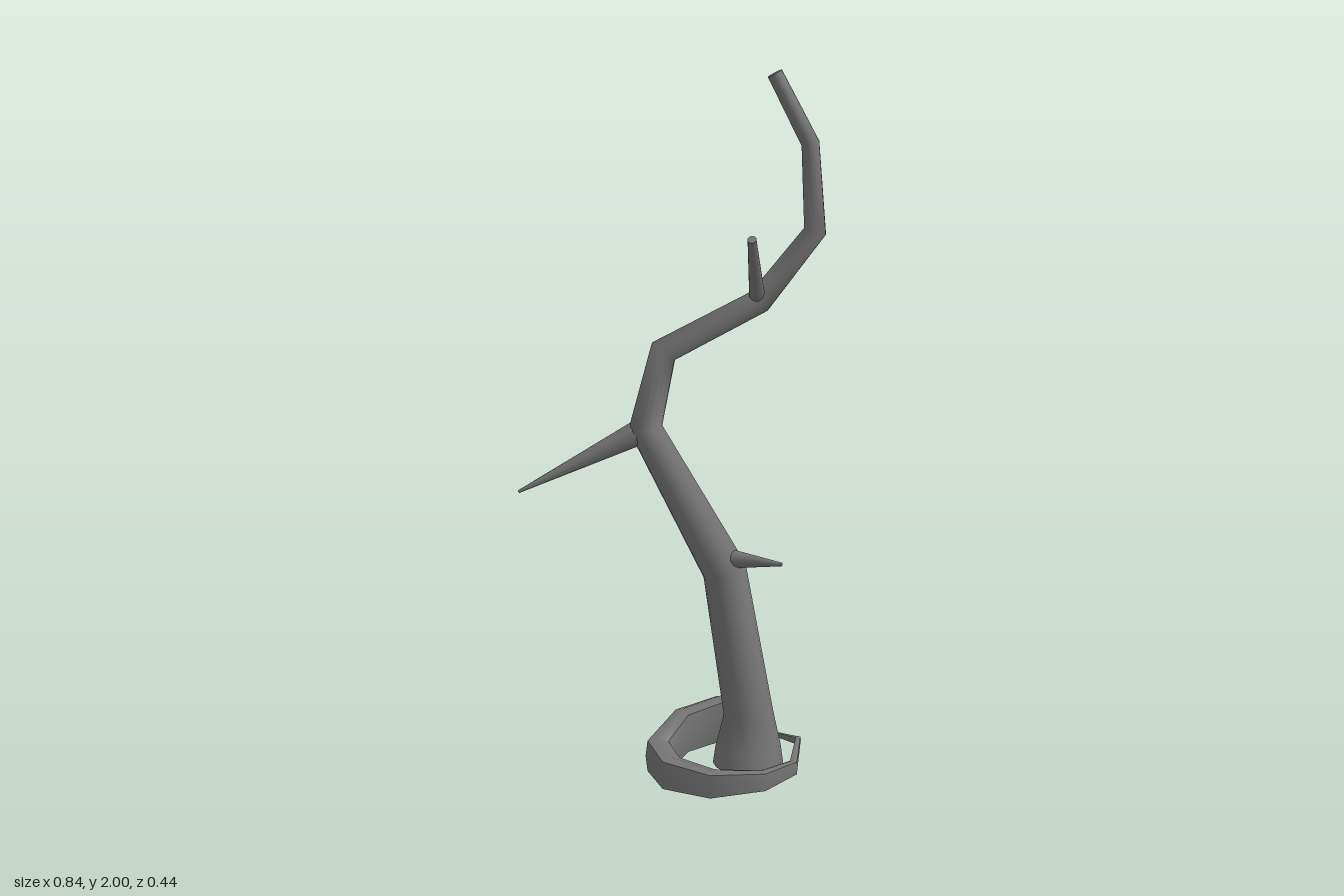
import * as THREE from 'three';
import { toCreasedNormals } from 'three/addons/utils/BufferGeometryUtils.js';

const Y = new THREE.Vector3(0, 1, 0);
const Z = new THREE.Vector3(0, 0, 1);

// Lofts mitred rings through stations [x, y, z, halfWidth, halfAlongRef].
// power 1 gives an ellipse, smaller values a squarer section.
function loft(stations, ref, sides, power = 1) {
  const pts = stations.map(s => new THREE.Vector3(s[0], s[1], s[2]));
  const last = pts.length - 1;
  const pos = [], index = [];
  const dir = i => pts[i + 1].clone().sub(pts[i]).normalize();
  const bend = v => Math.sign(v) * Math.pow(Math.abs(v), power);
  const rings = pts.map((p, i) => {
    const before = dir(Math.max(i - 1, 0)), after = dir(Math.min(i, last - 1));
    const tangent = before.clone().add(after).normalize();
    const mitre = 1 / Math.max(tangent.dot(after), 0.6);
    const side = ref.clone().cross(tangent).normalize();
    return Array.from({ length: sides }, (_, j) => {
      const t = (j / sides) * Math.PI * 2;
      return p.clone()
        .addScaledVector(side, bend(Math.cos(t)) * stations[i][3] * mitre)
        .addScaledVector(ref, bend(Math.sin(t)) * stations[i][4]);
    });
  });
  const addRing = ring => {
    const start = pos.length / 3;
    ring.forEach(v => pos.push(v.x, v.y, v.z));
    return start;
  };
  rings.forEach(addRing);
  for (let i = 0; i < last; i++) {
    for (let j = 0; j < sides; j++) {
      const k = (j + 1) % sides, a = i * sides, b = a + sides;
      index.push(a + j, a + k, b + j, a + k, b + k, b + j);
    }
  }
  // flat end caps
  const first = addRing(rings[0]), end = addRing(rings[last]);
  for (let j = 1; j < sides - 1; j++) {
    index.push(first, first + j + 1, first + j, end, end + j, end + j + 1);
  }
  const geometry = new THREE.BufferGeometry();
  geometry.setAttribute('position', new THREE.Float32BufferAttribute(pos, 3));
  geometry.setIndex(index);
  geometry.computeVertexNormals();
  return geometry;
}

// Tapered spike between two points
function spike(from, to, baseRadius, tipRadius) {
  const a = new THREE.Vector3(...from), b = new THREE.Vector3(...to);
  const axis = b.clone().sub(a);
  const geometry = new THREE.CylinderGeometry(tipRadius, baseRadius, axis.length(), 10);
  geometry.applyQuaternion(new THREE.Quaternion().setFromUnitVectors(Y, axis.normalize()));
  const mid = a.add(b).multiplyScalar(0.5);
  return geometry.translate(mid.x, mid.y, mid.z);
}

export function createModel() {
  const group = new THREE.Group();
  const material = new THREE.MeshStandardMaterial({ color: 0x757575 });
  const add = (name, geometry) => {
    const mesh = new THREE.Mesh(geometry, material);
    mesh.name = name;
    group.add(mesh);
  };

  // Crooked stem, flared at the foot: x, y, radius
  const stem = [
    [0.22, 0.05, 0.1], [0.22, 0.1, 0.093], [0.22, 0.2, 0.07], [0.15, 0.62, 0.061],
    [-0.07, 1.03, 0.044], [-0.02, 1.243, 0.036], [0.24, 1.38, 0.034],
    [0.388, 1.57, 0.029], [0.372, 1.805, 0.024], [0.275, 1.99, 0.021],
  ].map(([x, y, r]) => [x, y, 0.022, r, r]);
  add('stem', loft(stem, Z, 16));

  // Flat root curling once around the foot and thinning to a point
  const root = [
    [0.27, 0.12, -0.02, 0.034, 0.06], [0.182, 0.12, -0.143, 0.035, 0.07],
    [0.145, 0.119, -0.143, 0.035, 0.07], [0.035, 0.097, -0.104, 0.033, 0.067],
    [-0.036, 0.06, 0, 0.032, 0.055], [-0.001, 0.052, 0.107, 0.033, 0.048],
    [0.111, 0.056, 0.196, 0.027, 0.04], [0.253, 0.058, 0.182, 0.016, 0.03],
    [0.344, 0.06, 0.092, 0.012, 0.022], [0.373, 0.062, -0.11, 0.008, 0.012],
    [0.253, 0.06, -0.217, 0.001, 0.002],
  ];
  add('curledRoot', toCreasedNormals(loft(root, Y, 8, 0.5), 1));

  // Thorns
  add('longThorn', spike([-0.07, 1.025, 0.02], [-0.42, 0.85, 0.022], 0.037, 0.004));
  add('lowerThorn', spike([0.17, 0.66, 0.045], [0.3, 0.672, 0.142], 0.026, 0.005));
  add('upperThorn', spike([0.235, 1.38, 0.02], [0.207, 1.575, 0.212], 0.023, 0.012));
  add('backThorn', spike([-0.025, 1.24, 0], [-0.035, 1.055, -0.175], 0.021, 0.007));

  return group;
}
